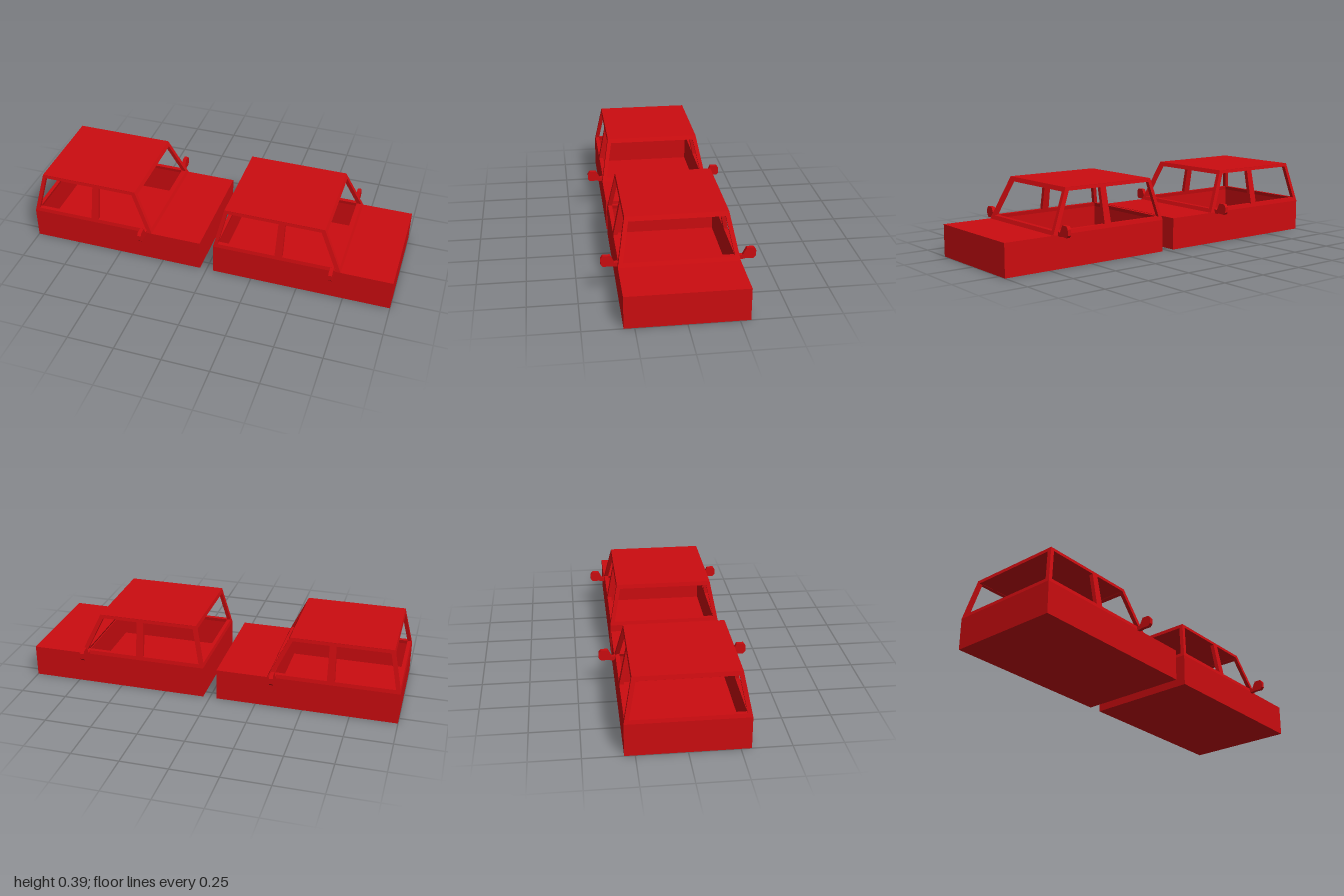
import * as THREE from 'three';

const paint = new THREE.MeshStandardMaterial({ color: 0xcc0c10, flatShading: true });
const LENGTH = 0.963, HALF = 0.302; // body length and half width
const BELT = 0.17, ROOF = 0.392;    // beltline and roof heights

function part(name, geometry) {
  const mesh = new THREE.Mesh(geometry, paint);
  mesh.name = name;
  return mesh;
}

function box(name, x0, x1, y0, y1, z0, z1) {
  const g = new THREE.BoxGeometry(x1 - x0, y1 - y0, z1 - z0);
  return part(name, g.translate((x0 + x1) / 2, (y0 + y1) / 2, (z0 + z1) / 2));
}

// Flat plate with optional openings, extruded along z from 0
function plate(points, holes, depth) {
  const toVec = (list) => list.map(([x, y]) => new THREE.Vector2(x, y));
  const shape = new THREE.Shape(toVec(points));
  holes.forEach((h) => shape.holes.push(new THREE.Path(toVec(h))));
  return new THREE.ExtrudeGeometry(shape, { depth, bevelEnabled: false });
}

// Leans a plate by moving one axis in proportion to height above the beltline
function lean(g, axis, slope) {
  const p = g.attributes.position;
  for (let i = 0; i < p.count; i++) {
    p.setComponent(i, axis, p.getComponent(i, axis) + slope * (p.getY(i) - BELT));
  }
  g.computeVertexNormals();
  return g;
}

function createCar(name) {
  const car = new THREE.Group();
  car.name = name;

  // Lower body: floor and a walled tub whose front part is the solid bonnet
  car.add(box('floor', 0, LENGTH, 0, 0.02, -HALF, HALF));
  const tub = plate(
    [[0, -HALF], [LENGTH, -HALF], [LENGTH, HALF], [0, HALF]],
    [[[0.02, -0.28], [0.02, 0.28], [0.66, 0.28], [0.66, -0.28]]],
    BELT - 0.02
  );
  car.add(part('lowerBody', tub.rotateX(-Math.PI / 2).translate(0, 0.02, 0)));

  // Side window frames with a centre pillar, leaning inwards
  const outline = [[0, BELT], [0.69, BELT], [0.585, ROOF], [0.05, ROOF]];
  const windows = [
    [[0.025, 0.19], [0.066, 0.374], [0.342, 0.374], [0.337, 0.19]],
    [[0.377, 0.19], [0.377, 0.374], [0.572, 0.374], [0.658, 0.19]],
  ];
  for (const side of [1, -1]) {
    const g = plate(outline, windows, 0.022);
    g.translate(0, 0, side > 0 ? HALF - 0.022 : -HALF);
    car.add(part(side > 0 ? 'sideFrameNear' : 'sideFrameFar', lean(g, 2, -0.2 * side)));
  }

  // Windscreen and rear window frames
  const endOutline = [[-HALF, BELT], [HALF, BELT], [0.258, ROOF], [-0.258, ROOF]];
  const endWindow = [[[-0.277, 0.19], [-0.242, 0.37], [0.242, 0.37], [0.277, 0.19]]];
  const rear = plate(endOutline, endWindow, 0.02).rotateY(Math.PI / 2);
  car.add(part('rearWindowFrame', lean(rear, 0, 0.05 / (ROOF - BELT))));
  const front = plate(endOutline, endWindow, 0.025).rotateY(Math.PI / 2).translate(0.665, 0, 0);
  car.add(part('windscreenFrame', lean(front, 0, -0.105 / (ROOF - BELT))));

  car.add(box('roof', 0.05, 0.585, 0.375, ROOF, -0.258, 0.258));

  // Door mirrors: faceted head on a short stalk
  const mirror = [
    [0.29, 0.165], [0.318, 0.163], [0.335, 0.167], [0.372, 0.165], [0.384, 0.178],
    [0.384, 0.208], [0.373, 0.223], [0.337, 0.223], [0.317, 0.184], [0.29, 0.19],
  ];
  for (const side of [1, -1]) {
    const g = plate(mirror, [], 0.02).rotateY(-Math.PI / 2).translate(0.661, 0, 0);
    if (side < 0) g.rotateY(Math.PI).translate(2 * 0.651, 0, 0);
    car.add(part(side > 0 ? 'mirrorNear' : 'mirrorFar', g));
  }
  return car;
}

export function createModel() {
  const model = new THREE.Group();
  model.name = 'carBodies';
  // Two matching shells, nose to tail along x
  [-1, 1 - LENGTH].forEach((x, i) => {
    const car = createCar(i ? 'frontCar' : 'rearCar');
    car.position.x = x;
    model.add(car);
  });
  return model;
}
